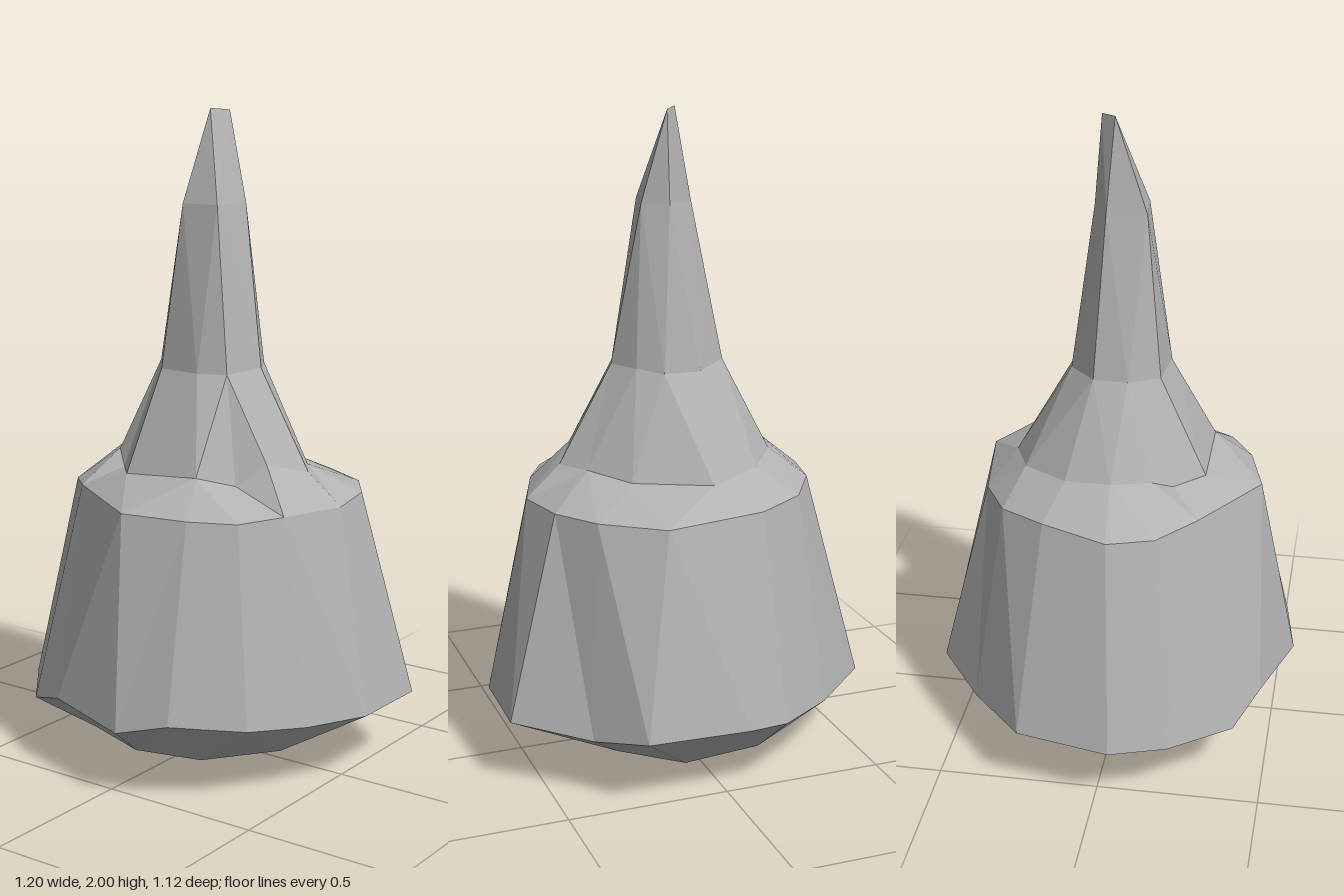
import * as THREE from 'three';

// Cross-sections from bottom to top, each a loop of [x, y, z] corners
const foot = [[-0.07, 0.005, 0.05], [0.05, 0.01, 0.1], [0.13, 0.02, 0.02], [0.1, 0.02, -0.15], [-0.08, 0.02, -0.12], [-0.15, 0.04, 0]];
const belly = [
  [0.42, 0.11, -0.08], [0.38, 0.1, 0.16], [0.2, 0.08, 0.32], [0, 0.085, 0.38], [-0.2, 0.1, 0.33], [-0.33, 0.1, 0.18],
  [-0.38, 0.12, 0], [-0.32, 0.08, -0.22], [-0.15, 0.07, -0.38], [0.1, 0.07, -0.41], [0.28, 0.09, -0.3],
];
const rim = [
  [0.6, 0.215, -0.25], [0.595, 0.215, 0.02], [0.51, 0.22, 0.21], [0.41, 0.235, 0.38], [0.23, 0.255, 0.525], [0.065, 0.21, 0.56],
  [-0.23, 0.23, 0.475], [-0.38, 0.18, 0.405], [-0.53, 0.19, 0.22], [-0.6, 0.2, 0.05], [-0.55, 0.21, -0.24],
  [-0.36, 0.2, -0.41], [-0.17, 0.22, -0.555], [-0.05, 0.22, -0.565], [0.27, 0.225, -0.56], [0.39, 0.19, -0.41],
];
const shoulder = [
  [0.47, 0.835, -0.02], [0.4, 0.835, 0.18], [0.33, 0.83, 0.315], [0.2, 0.835, 0.39], [0, 0.84, 0.44], [-0.285, 0.855, 0.275],
  [-0.4, 0.84, 0.16], [-0.445, 0.84, 0.02], [-0.39, 0.86, -0.18], [-0.3, 0.85, -0.32], [-0.15, 0.84, -0.4],
  [0.165, 0.835, -0.445], [0.345, 0.84, -0.33], [0.435, 0.84, -0.2],
];
const collar = [
  [0.36, 0.93, -0.01], [0.29, 0.965, 0.11], [0.22, 0.9, 0.17], [0.15, 0.935, 0.275], [-0.11, 0.915, 0.275], [-0.19, 0.91, 0.185],
  [-0.25, 0.95, 0.13], [-0.3, 0.96, 0.01], [-0.28, 0.95, -0.13], [-0.18, 0.94, -0.27], [-0.02, 0.915, -0.33],
  [0.2, 0.915, -0.225], [0.3, 0.93, -0.1],
];
const neck = [
  [0.19, 1.23, -0.005], [0.145, 1.22, 0.11], [0.06, 1.22, 0.145], [-0.085, 1.22, 0.13], [-0.155, 1.23, 0.04],
  [-0.15, 1.23, -0.065], [-0.045, 1.22, -0.15], [0.07, 1.22, -0.15], [0.14, 1.23, -0.095],
];
const spireRing = [[0.08, 1.72, 0.07], [-0.04, 1.72, 0.08], [-0.055, 1.72, -0.04], [0.03, 1.72, -0.088], [0.105, 1.72, -0.045]];
const tip = [[-0.01, 2, -0.02], [0.03, 1.995, -0.065]];

// Sorts a loop by angle around its own middle
function ordered(loop) {
  const mid = (k) => loop.reduce((sum, p) => sum + p[k], 0) / loop.length;
  const cx = mid(0), cz = mid(2);
  return loop
    .map((p) => ({ p, angle: Math.atan2(p[2] - cz, p[0] - cx) }))
    .sort((a, b) => a.angle - b.angle);
}

// Joins two loops, which may have different numbers of corners
function band(lower, upper) {
  const a = ordered(lower), b = ordered(upper);
  const at = (loop, i) => loop[i % loop.length].p;
  const turn = (loop, i) => loop[i % loop.length].angle + (i >= loop.length ? Math.PI * 2 : 0);
  const endA = a.length > 1 ? a.length : 0;
  const endB = b.length > 1 ? b.length : 0;
  const positions = [];
  let i = 0, j = 0;
  while (i < endA || j < endB) {
    const stepA = j >= endB || (i < endA && turn(a, i) + turn(a, i + 1) <= turn(b, j) + turn(b, j + 1));
    positions.push(...at(a, i), ...at(b, j), ...(stepA ? at(a, ++i) : at(b, ++j)));
  }
  const geometry = new THREE.BufferGeometry();
  geometry.setAttribute('position', new THREE.Float32BufferAttribute(positions, 3));
  geometry.computeVertexNormals();
  return geometry;
}

export function createModel() {
  const group = new THREE.Group();
  group.name = 'spiredStone';
  const stone = new THREE.MeshStandardMaterial({ color: 0xb2b2b2, flatShading: true });
  stone.name = 'stone grey';

  const parts = [
    ['footCap', [[0, 0, 0.04]], foot],
    ['underside', foot, belly],
    ['lowerBelly', belly, rim],
    ['body', rim, shoulder],
    ['shoulder', shoulder, collar],
    ['neckSlope', collar, neck],
    ['spire', neck, spireRing],
    ['spireTip', spireRing, tip],
  ];
  for (const [name, lower, upper] of parts) {
    const mesh = new THREE.Mesh(band(lower, upper), stone);
    mesh.name = name;
    group.add(mesh);
  }
  return group;
}
